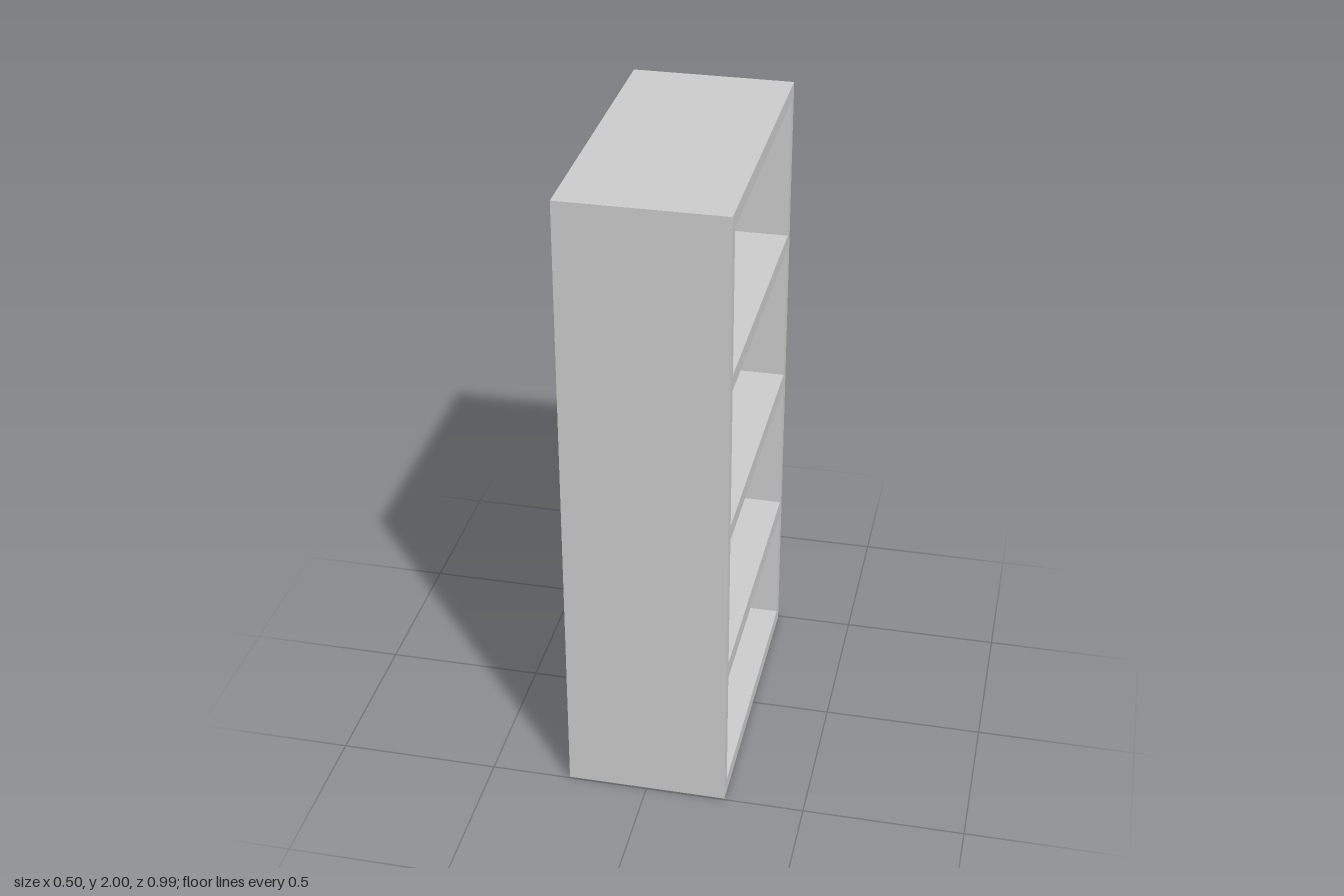
import * as THREE from 'three';

const DEPTH = 0.5;        // along x, open at both ends
const HALF_WIDTH = 0.495; // along z
const PANEL = 0.037;      // side panel thickness
const HEIGHT = 2;

export function createModel() {
  const group = new THREE.Group();
  group.name = 'bookcase';
  const material = new THREE.MeshStandardMaterial({ color: 0xcccccc, flatShading: true });

  const addBoard = (name, height, width, y, z) => {
    const mesh = new THREE.Mesh(new THREE.BoxGeometry(DEPTH, height, width), material);
    mesh.name = name;
    mesh.position.set(0, y, z);
    group.add(mesh);
  };

  // Upright side panels, full height
  for (const side of [1, -1]) {
    addBoard(side > 0 ? 'frontSidePanel' : 'backSidePanel',
      HEIGHT, PANEL, HEIGHT / 2, side * (HALF_WIDTH - PANEL / 2));
  }

  // Horizontal boards fitted between the side panels: [name, underside, upper face]
  const boards = [
    ['bottomBoard', 0, 0.05],
    ['lowerShelf', 0.447, 0.505],
    ['middleShelf', 0.95, 1.0],
    ['upperShelf', 1.452, 1.502],
    ['topBoard', 1.952, HEIGHT],
  ];
  for (const [name, low, high] of boards) {
    addBoard(name, high - low, 2 * (HALF_WIDTH - PANEL), (low + high) / 2, 0);
  }

  return group;
}
